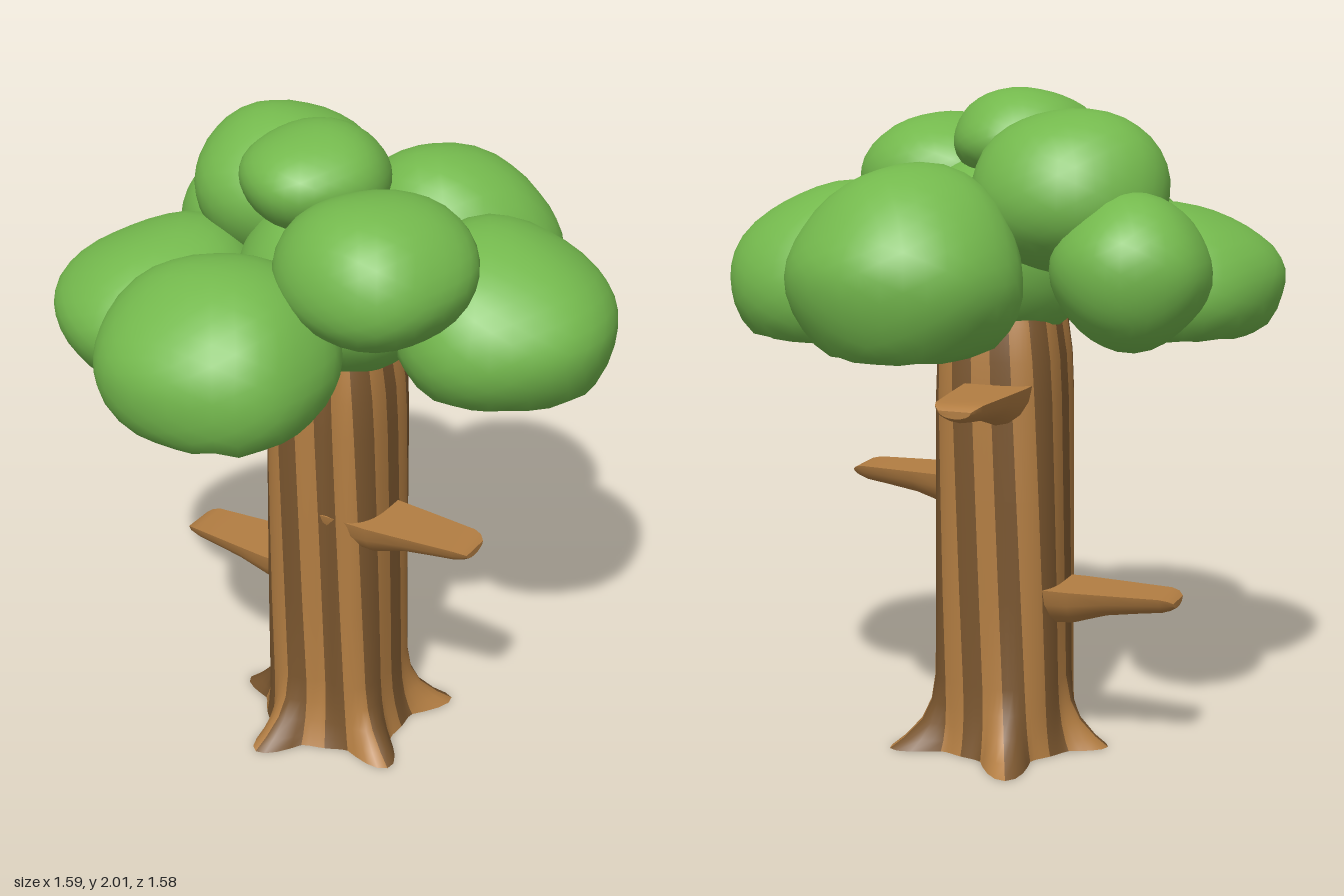
import * as THREE from 'three';
import { mergeVertices, toCreasedNormals } from 'three/addons/utils/BufferGeometryUtils.js';

const material = (name, color) => Object.assign(new THREE.MeshStandardMaterial({ color }), { name });

// Skins closed rings of points; pick(row, column) gives the material index
function loft(rings, pick, crease) {
  const n = rings[0].length;
  const faces = [[], []];
  for (let i = 0; i < rings.length - 1; i++) {
    for (let j = 0; j < n; j++) {
      const a = i * n + j, b = i * n + (j + 1) % n;
      faces[pick(i, j)].push(a, b, b + n, a, b + n, a + n);
    }
  }
  const geometry = new THREE.BufferGeometry();
  geometry.setAttribute('position', new THREE.Float32BufferAttribute(rings.flat(2), 3));
  geometry.setIndex([...faces[0], ...faces[1]]);
  geometry.addGroup(0, faces[0].length, 0);
  geometry.addGroup(faces[0].length, faces[1].length, 1);
  return toCreasedNormals(geometry, crease);
}

// Striped trunk with a rounded-square section, flaring into five pointed roots
function trunkGeometry() {
  const columns = 80, stripes = 20, firstRoot = -0.27;
  const rootScale = [1, 1.06, 1.13, 1.28, 0.8];
  const rows = [
    // height, radius, squareness, root reach
    [0, 0, 0, 0], [0, 0.232, 0, 0.125], [0.03, 0.224, 0.2, 0.088], [0.08, 0.216, 0.5, 0.042],
    [0.14, 0.211, 0.8, 0.015], [0.22, 0.209, 1, 0.003], [0.5, 0.209, 1, 0], [0.8, 0.207, 1, 0],
    [1.1, 0.205, 1, 0], [1.22, 0.2, 1, 0], [1.32, 0.186, 1, 0], [1.45, 0.15, 1, 0], [1.45, 0, 0, 0],
  ];
  const rings = rows.map(([y, radius, square, reach]) => Array.from({ length: columns }, (_, k) => {
    const turn = (k / columns) * Math.PI * 2;
    const wave = Math.cos(turn * 5);
    const point = Math.max(0, wave) * 0.35 + Math.pow(0.5 + 0.5 * wave, 3) * 0.65;
    const root = Math.round((k / columns) * 5) % 5;
    const a = firstRoot + turn - 0.2 * y;
    // shallow hollow beside the front left corner
    const hollow = 0.03 * Math.exp(-Math.pow(Math.sin((a - 0.32) / 2) / 0.12, 2));
    const r = radius + reach * rootScale[root] * point - square * (0.012 * Math.cos(4 * a) + hollow);
    return [r * Math.sin(a) - 0.006, y, r * Math.cos(a) - 0.01];
  }));
  const perStripe = columns / stripes;
  return loft(rings, (row, k) => (row > 0 && Math.floor(k / perStripe) % 2 === 0 ? 1 : 0), 0.9);
}

// Flat-topped, half-round stub growing along +x
function branchGeometry() {
  const rows = [
    // distance, half width, depth, top drop
    [0.02, 0.1, 0.13, 0], [0.19, 0.1, 0.118, 0], [0.3, 0.09, 0.082, 0], [0.4, 0.08, 0.066, 0],
    [0.47, 0.073, 0.056, 0], [0.495, 0.065, 0.042, 0.005], [0.51, 0.05, 0.022, 0.015], [0.51, 0, 0, 0.025],
  ];
  const steps = 8;
  const rings = rows.map(([x, w, d, drop]) => Array.from({ length: steps + 1 }, (_, j) => {
    const t = (j / steps) * Math.PI;
    return [x, -drop - d * Math.sin(t), w * Math.cos(t)];
  }));
  return loft(rings, () => 0, 0.9);
}

// Lumpy leaf ball, cut flat at the underside of the crown; droop lowers its outer shoulder
const CROWN_BASE = 1.285;
function leafGeometry([x, y, z], [rx, ry, rz], droop, seed) {
  const ball = new THREE.IcosahedronGeometry(1, 5);
  ball.deleteAttribute('uv');
  ball.deleteAttribute('normal');
  const geometry = mergeVertices(ball, 1e-4);
  const p = geometry.attributes.position;
  const reach = Math.hypot(x, z) || 1;
  for (let i = 0; i < p.count; i++) {
    const [u, v, w] = [p.getX(i), p.getY(i), p.getZ(i)];
    const lump = 1 + 0.016 * Math.sin(4.1 * u + seed * 1.7) + 0.016 * Math.sin(4.7 * v + 2.3 * w + seed * 2.9)
      + 0.016 * Math.sin(5.3 * w - 2.1 * u + seed * 4.3);
    const outward = (u * x + w * z) / reach;
    const height = y + v * ry * lump - droop * outward * Math.max(0, v);
    p.setXYZ(i, x + u * rx * lump, Math.max(CROWN_BASE, height), z + w * rz * lump);
  }
  geometry.computeVertexNormals();
  return geometry;
}

export function createModel() {
  const wood = material('wood', 0xb27d42);
  const bark = material('darkBark', 0x79552e);
  const leaf = material('leafGreen', 0x74b94d);

  const model = new THREE.Group();
  model.name = 'tree';
  const add = (name, geometry, mat) => {
    const mesh = new THREE.Mesh(geometry, mat);
    mesh.name = name;
    model.add(mesh);
    return mesh;
  };

  add('trunk', trunkGeometry(), [wood, bark]);

  // Branch stubs: name, position, heading
  const stub = branchGeometry();
  for (const [name, position, heading] of [
    ['leftBranch', [0, 0.825, 0.06], 0],
    ['rightBranch', [-0.06, 0.525, -0.05], Math.PI],
    ['backBranch', [-0.05, 1.15, -0.02], Math.PI / 2],
  ]) {
    const branch = add(name, stub, [wood, wood]);
    branch.position.set(...position);
    branch.rotation.y = heading;
  }

  // Crown: name, centre, radii, droop
  [
    ['backLeaves', [0.12, 1.5, -0.48], [0.34, 0.305, 0.31], 0.06],
    ['leftLeaves', [0.47, 1.45, -0.17], [0.32, 0.28, 0.35], 0.06],
    ['frontLeaves', [-0.12, 1.45, 0.465], [0.35, 0.275, 0.33], 0.06],
    ['rightLeaves', [-0.49, 1.43, 0.2], [0.305, 0.235, 0.345], 0.04],
    ['backRightLeaves', [-0.49, 1.52, -0.3], [0.23, 0.22, 0.23], 0],
    ['upperRightLeaves', [-0.265, 1.72, -0.16], [0.29, 0.24, 0.28], 0],
    ['upperLeftLeaves', [0.245, 1.705, 0.2], [0.28, 0.215, 0.285], 0],
    ['topLeaves', [-0.06, 1.857, 0.02], [0.22, 0.145, 0.23], 0],
    ['middleLeaves', [0.01, 1.54, 0], [0.32, 0.28, 0.28], 0],
  ].forEach(([name, centre, radii, droop], i) => add(name, leafGeometry(centre, radii, droop, i + 1), leaf));

  return model;
}
